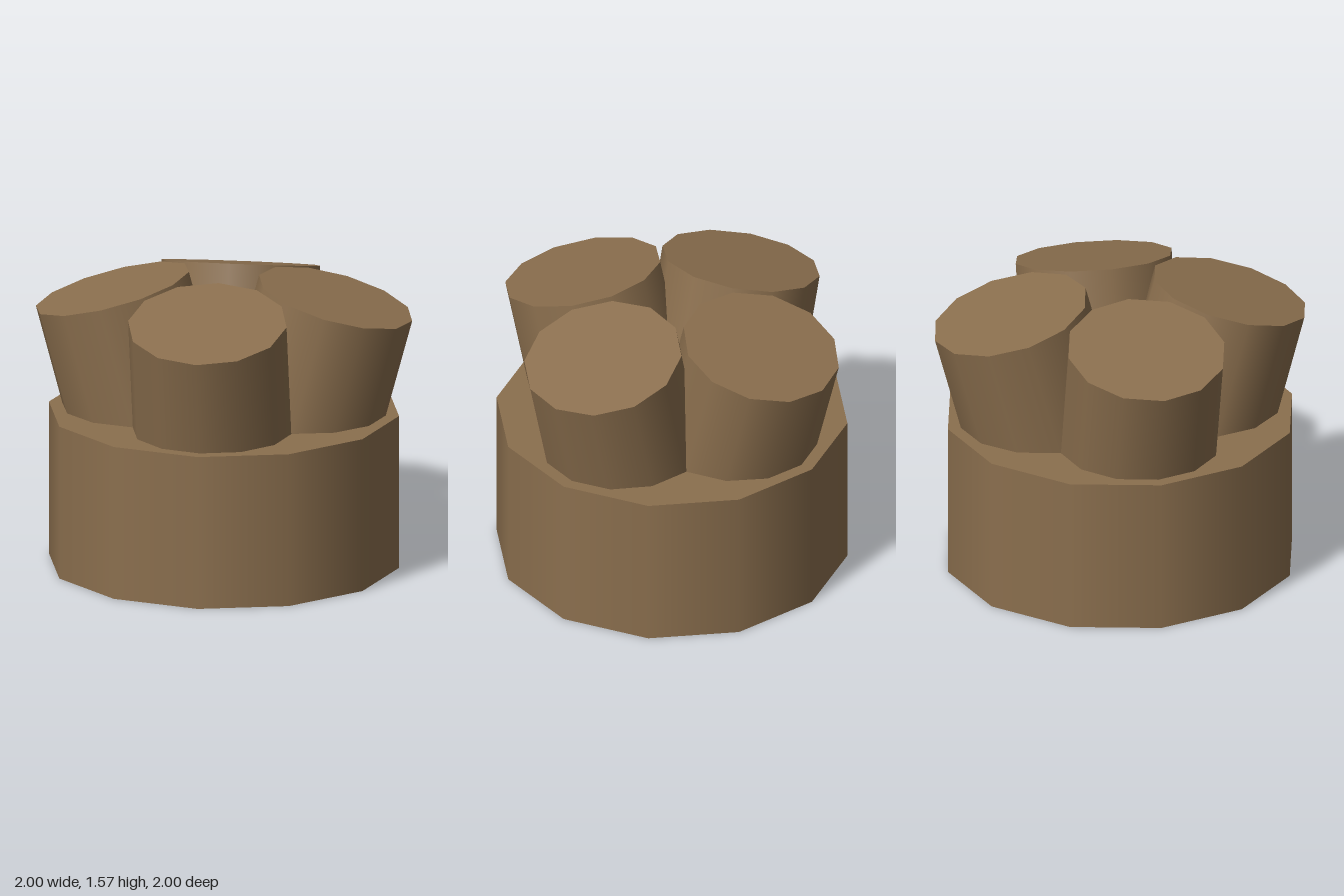
import * as THREE from 'three';

export function createModel() {
  const model = new THREE.Group();
  const brown = new THREE.MeshStandardMaterial({ color: 0x8b6f4e });
  brown.name = 'brown';

  // Broad twelve-sided base drum
  const baseHeight = 0.83;
  const base = new THREE.Mesh(new THREE.CylinderGeometry(0.93, 0.93, baseHeight, 12), brown);
  base.name = 'base';
  base.position.y = baseHeight / 2;
  model.add(base);

  // Four stubs leaning outwards, sunk into the base
  const tilt = THREE.MathUtils.degToRad(15);
  const length = 0.83;
  const stubGeometry = new THREE.CylinderGeometry(0.421, 0.421, length, 12);
  stubGeometry.translate(0, -length / 2, 0); // origin at the centre of the top face
  ['left', 'back', 'right', 'front'].forEach((side, i) => {
    const pivot = new THREE.Group();
    pivot.name = `${side}Stub`;
    pivot.rotation.y = (i * Math.PI) / 2;
    const stub = new THREE.Mesh(stubGeometry, brown);
    stub.name = `${side}StubCylinder`;
    stub.position.set(0.593, 1.461, 0);
    stub.rotation.z = -tilt;
    pivot.add(stub);
    model.add(pivot);
  });

  return model;
}
